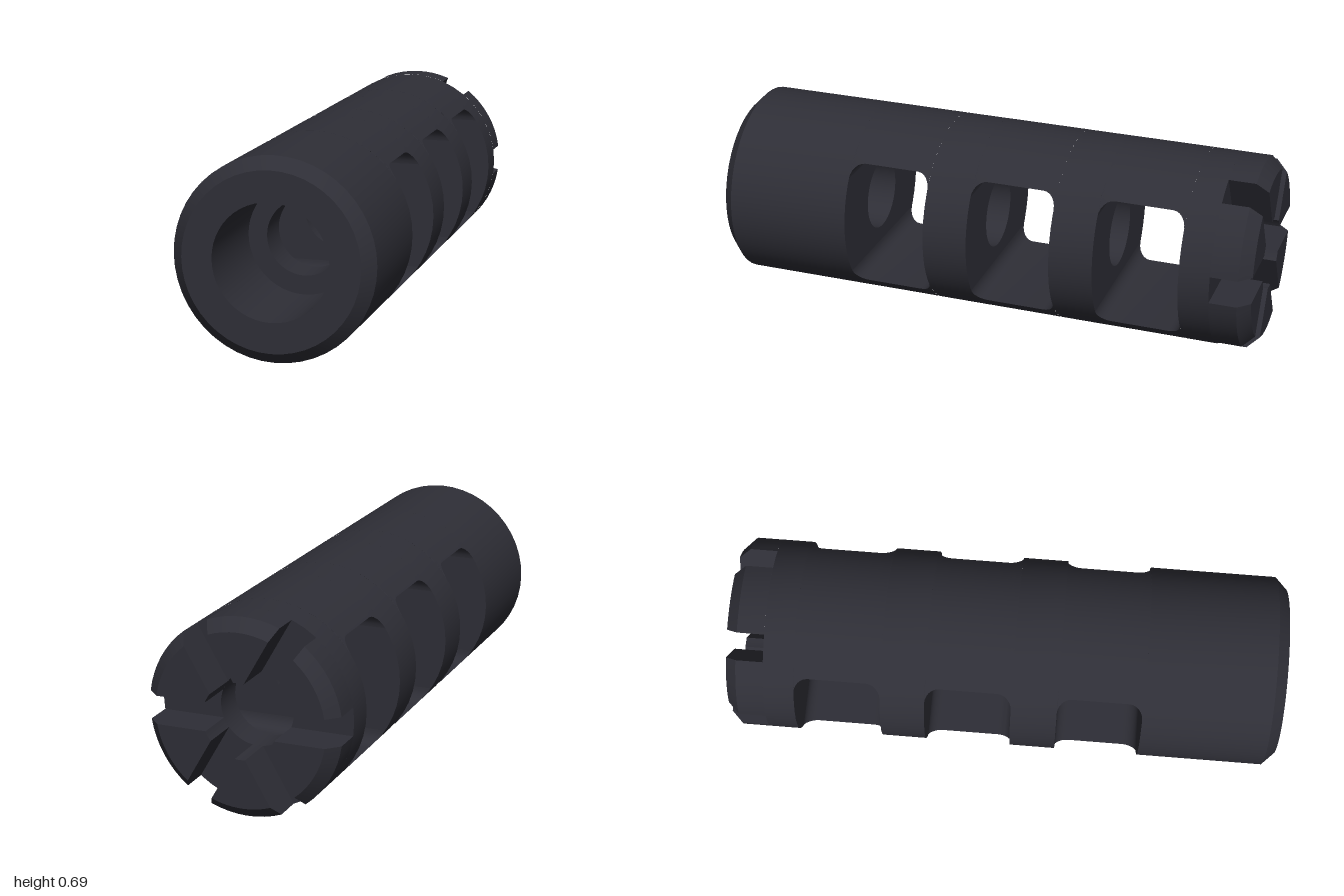
import * as THREE from 'three';
import { toCreasedNormals } from 'three/addons/utils/BufferGeometryUtils.js';

const R = 0.347;        // outer radius
const BORE = 0.133;     // through bore
const CHAMFER = 0.042;
const SEG = 48;
const PORTS = [[0.195, 0.5], [-0.28, 0.03], [-0.75, -0.44]]; // z ranges of the side ports
const PORT_HALF = 0.2375, PORT_ROUND = 0.05;
const CROWN = -0.86, SLOT_HALF = 0.05;

// Turned ring: profile points are [radius, z], outer side running towards +z
function turned(profile) {
  const pts = [...profile, profile[0]].map(([r, z]) => new THREE.Vector2(r, z));
  const geo = new THREE.LatheGeometry(pts, SEG);
  geo.rotateX(Math.PI / 2);
  return toCreasedNormals(geo, 0.5);
}

// Skin over counter-clockwise loops placed at increasing z; optional cover on the rear end
function loft(sections, coverRear) {
  const n = sections[0].loop.length;
  const pos = [], idx = [];
  for (const { loop, z } of sections) for (const p of loop) pos.push(p.x, p.y, z);
  for (let k = 0; k < sections.length - 1; k++) {
    for (let i = 0; i < n; i++) {
      const a = k * n + i, b = k * n + (i + 1) % n;
      idx.push(a, b, a + n, b, b + n, a + n);
    }
  }
  if (coverRear) {
    for (const [a, b, c] of THREE.ShapeUtils.triangulateShape(sections[0].loop, [])) idx.push(a, c, b);
  }
  const geo = new THREE.BufferGeometry();
  geo.setAttribute('position', new THREE.Float32BufferAttribute(pos, 3));
  geo.setIndex(idx);
  return toCreasedNormals(geo, 0.5);
}

function arc(r, from, to, steps) {
  return Array.from({ length: steps + 1 }, (_, i) => {
    const a = from + (to - from) * i / steps;
    return new THREE.Vector2(r * Math.cos(a), r * Math.sin(a));
  });
}

// Part of the disc above height h
function bridgeLoop(h) {
  const a = Math.asin(h / R);
  return arc(R, a, Math.PI - a, 20);
}

// Sector between two parallel-sided slots
function toothLoop(outer) {
  const a = Math.asin(SLOT_HALF / outer), b = Math.asin(SLOT_HALF / BORE);
  const sector = Math.PI / 3;
  return [...arc(outer, a, sector - a, 8), ...arc(BORE, sector - b, b, 4)];
}

export function createModel() {
  const model = new THREE.Group();
  const body = new THREE.Group();
  body.name = 'ventedTube';
  body.position.y = R;
  model.add(body);

  const metal = new THREE.MeshStandardMaterial({ color: 0x2e2e36 });
  metal.name = 'dark metal';

  const add = (name, geo, turn = 0) => {
    const mesh = new THREE.Mesh(geo, metal);
    mesh.name = name;
    mesh.rotation.z = turn;
    body.add(mesh);
  };

  // Front sleeve with chamfered rim and wider counterbore
  add('frontSleeve', turned([
    [BORE, 0.5], [R, 0.5], [R, 1 - CHAMFER], [R - CHAMFER, 1],
    [0.2, 1], [0.2, 0.63], [BORE, 0.63],
  ]));

  // Full rings between the ports, and the one carrying the crown
  for (const [name, z0, z1] of [
    ['frontBaffle', 0.03, 0.195], ['rearBaffle', -0.44, -0.28], ['crownCollar', CROWN, -0.75],
  ]) {
    add(name, turned([[BORE, z0], [R, z0], [R, z1], [BORE, z1]]));
  }

  // Solid bridges above and below each port, with rounded port corners
  for (const [z0, z1] of PORTS) {
    const corner = Array.from({ length: 7 }, (_, i) => {
      const t = i / 6 * Math.PI / 2;
      return [PORT_ROUND * (1 - Math.cos(t)), PORT_HALF - PORT_ROUND * (1 - Math.sin(t))];
    });
    const sections = [
      ...corner.map(([d, h]) => ({ z: z0 + d, loop: bridgeLoop(h) })),
      ...corner.reverse().map(([d, h]) => ({ z: z1 - d, loop: bridgeLoop(h) })),
    ];
    const geo = loft(sections, false);
    add('topBridge', geo);
    add('bottomBridge', geo, Math.PI);
  }

  // Six chamfered crown teeth around the rear opening
  const tooth = loft([
    { z: -1, loop: toothLoop(R - CHAMFER) },
    { z: -1 + CHAMFER, loop: toothLoop(R) },
    { z: CROWN, loop: toothLoop(R) },
  ], true);
  for (let i = 0; i < 6; i++) add('crownTooth', tooth, i * Math.PI / 3);

  return model;
}
